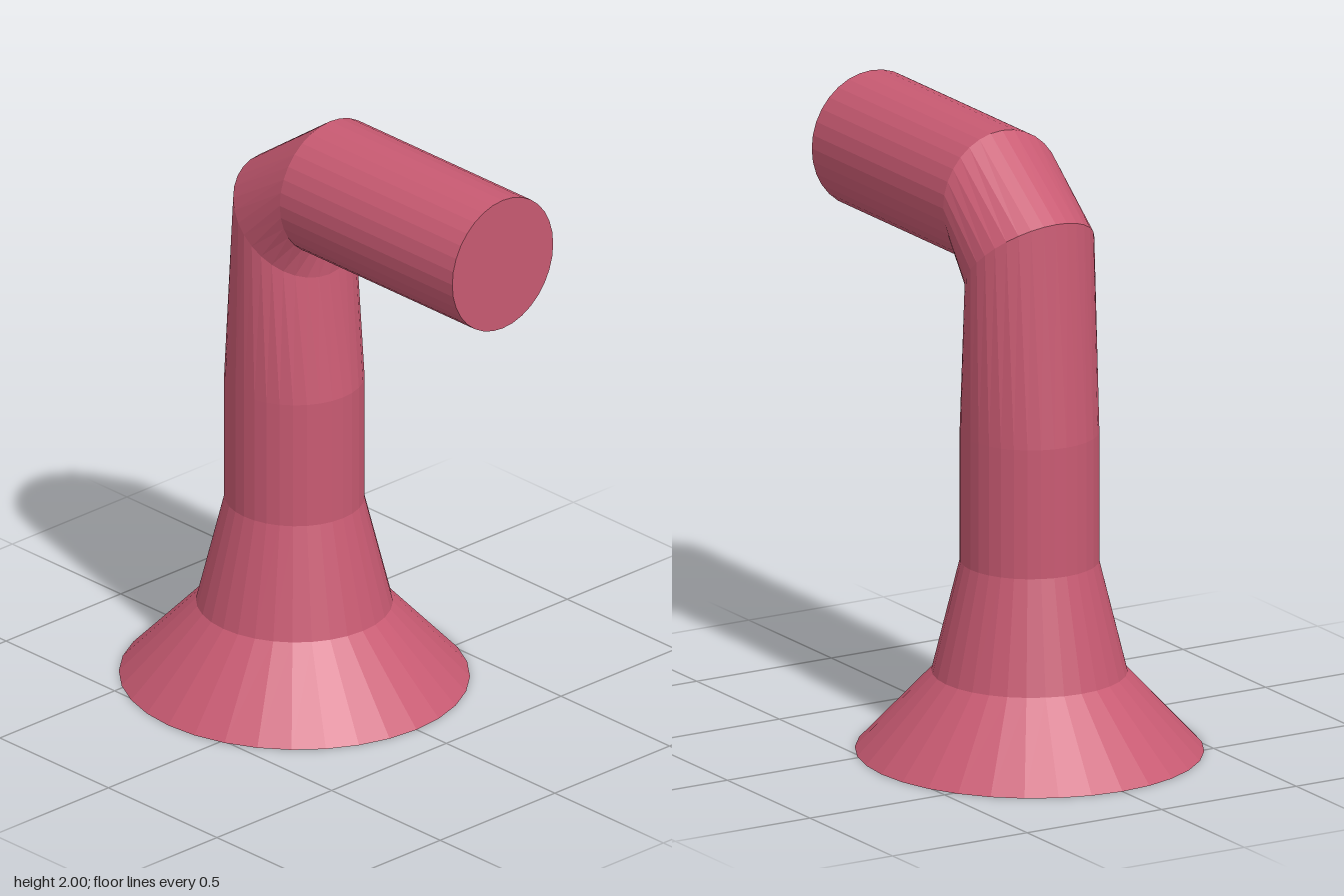
import * as THREE from 'three';

const SIDES = 32;

// Rings along the bent pipe: centre (x, y), half-axis in the xy plane (ux, uy), half-width in z
const rings = [
  [-0.2, 0, 0.563, 0, 0.55],        // foot
  [-0.2, 0.26, 0.315, 0, 0.31],     // flare
  [-0.2, 0.625, 0.225, 0, 0.22],    // stem bottom
  [-0.2, 1.05, 0.225, 0, 0.22],     // stem top
  [-0.2, 1.615, 0.16, -0.155, 0.22],    // tilted elbow ring
  [-0.035, 1.775, 0, -0.225, 0.22],     // spout start
  [0.76, 1.775, 0, -0.225, 0.22],       // spout end
];

function ringPoint([x, y, ux, uy, w], i) {
  const a = ((i % SIDES) / SIDES) * Math.PI * 2;
  return [x + ux * Math.cos(a), y + uy * Math.cos(a), w * Math.sin(a)];
}

function loft(list) {
  const pos = [];
  const tri = (a, b, c) => pos.push(...a, ...b, ...c);
  const first = list[0], last = list[list.length - 1];
  for (let i = 0; i < SIDES; i++) {
    // walls
    for (let r = 0; r < list.length - 1; r++) {
      const a = ringPoint(list[r], i), b = ringPoint(list[r], i + 1);
      const c = ringPoint(list[r + 1], i), d = ringPoint(list[r + 1], i + 1);
      tri(a, c, b);
      tri(b, c, d);
    }
    // end caps
    tri([first[0], first[1], 0], ringPoint(first, i), ringPoint(first, i + 1));
    tri([last[0], last[1], 0], ringPoint(last, i + 1), ringPoint(last, i));
  }
  const g = new THREE.BufferGeometry();
  g.setAttribute('position', new THREE.Float32BufferAttribute(pos, 3));
  g.computeVertexNormals();
  return g;
}

export function createModel() {
  const group = new THREE.Group();
  group.name = 'ventPipe';
  const material = new THREE.MeshStandardMaterial({ color: 0xc85a72, flatShading: true });
  const pipe = new THREE.Mesh(loft(rings), material);
  pipe.name = 'bentPipe';
  group.add(pipe);
  return group;
}
